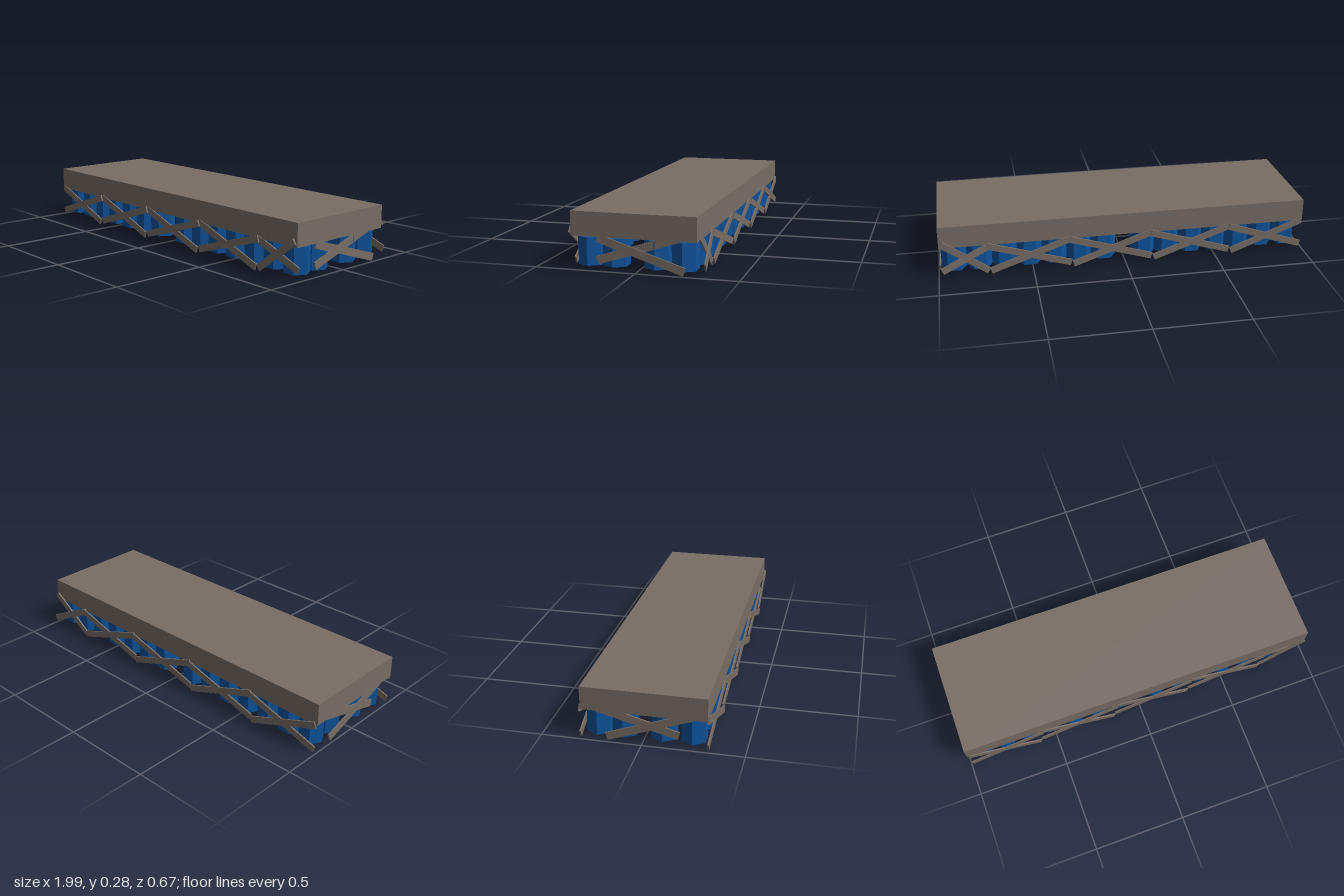
import * as THREE from 'three';

export function createModel() {
  const raft = new THREE.Group();
  raft.name = 'raft';
  const wood = new THREE.MeshStandardMaterial({ color: 0x786d65, flatShading: true });
  const blue = new THREE.MeshStandardMaterial({ color: 0x0e539c, flatShading: true });

  // Thick flat deck
  const deck = new THREE.Mesh(new THREE.BoxGeometry(1.99, 0.12, 0.62), wood);
  deck.name = 'deck';
  deck.position.set(-0.004, 0.23, 0.012);
  raft.add(deck);

  // Hexagonal float barrels, corners pointing along x
  const barrels = new THREE.Group();
  barrels.name = 'barrels';
  raft.add(barrels);
  const barrelGeometry = new THREE.CylinderGeometry(0.0676, 0.0676, 0.137, 6);
  barrelGeometry.rotateY(Math.PI / 2);
  barrelGeometry.rotateY(Math.PI);
  const addBarrel = (x, z) => {
    const barrel = new THREE.Mesh(barrelGeometry, blue);
    barrel.name = 'barrel';
    barrel.position.set(x, 0.0935, z);
    barrels.add(barrel);
  };
  // Two long rows, each with a gap in the middle
  for (const z of [0.242, -0.224]) {
    for (let i = 0; i < 7; i++) {
      addBarrel(0.112 + i * 0.134, z);
      addBarrel(-0.106 - i * 0.134, z);
    }
  }
  // Pairs closing the two ends
  addBarrel(0.916, 0.117);
  addBarrel(0.916, -0.09);
  addBarrel(-0.91, 0.096);
  addBarrel(-0.91, -0.097);

  // A plank between two points, its broad face turned towards 'out'
  const braces = new THREE.Group();
  braces.name = 'braces';
  raft.add(braces);
  const addPlank = (name, a, b, out, width = 0.036) => {
    const from = new THREE.Vector3(...a), to = new THREE.Vector3(...b);
    const along = to.clone().sub(from);
    const plank = new THREE.Mesh(new THREE.BoxGeometry(along.length(), width, 0.008), wood);
    along.normalize();
    const up = new THREE.Vector3(...out).cross(along).normalize();
    const normal = along.clone().cross(up);
    plank.quaternion.setFromRotationMatrix(new THREE.Matrix4().makeBasis(along, up, normal));
    plank.position.copy(from).add(to).multiplyScalar(0.5);
    plank.name = name;
    braces.add(plank);
  };

  // Crossed planks along both long sides
  const joints = [-0.99, -0.58, -0.145, 0.295, 0.735];
  for (const side of [1, -1]) {
    const name = side > 0 ? 'frontBrace' : 'backBrace';
    const near = side > 0 ? 0.322 : -0.304;
    const far = near + side * 0.008;
    const out = [0, 0, side];
    for (let i = 0; i < 4; i++) {
      const x0 = joints[i], x1 = joints[i + 1];
      addPlank(name, [x0, 0.172, near], [x1 - 0.01, 0.024, far], out);
      addPlank(name, [x0, 0.03, near], [x1 + 0.005, 0.17, far], out);
    }
    // Short steep cross at the left end
    addPlank(name, [0.735, 0.022, near], [0.98, 0.2, far], out);
    addPlank(name, [0.725, 0.17, near], [0.98, 0.052, side > 0 ? 0.3 : -0.335], out);
  }

  // Crossed planks on both ends
  addPlank('leftEndBrace', [0.985, 0.165, 0.19], [0.99, 0.028, -0.237], [1, 0, 0], 0.04);
  addPlank('leftEndBrace', [0.984, 0.057, 0.19], [0.976, 0.19, -0.23], [1, 0, 0], 0.04);
  addPlank('rightEndBrace', [-0.99, 0.18, 0.24], [-0.985, 0.03, -0.175], [-1, 0, 0], 0.04);
  addPlank('rightEndBrace', [-0.982, 0.07, 0.18], [-0.992, 0.185, -0.22], [-1, 0, 0], 0.04);

  return raft;
}
